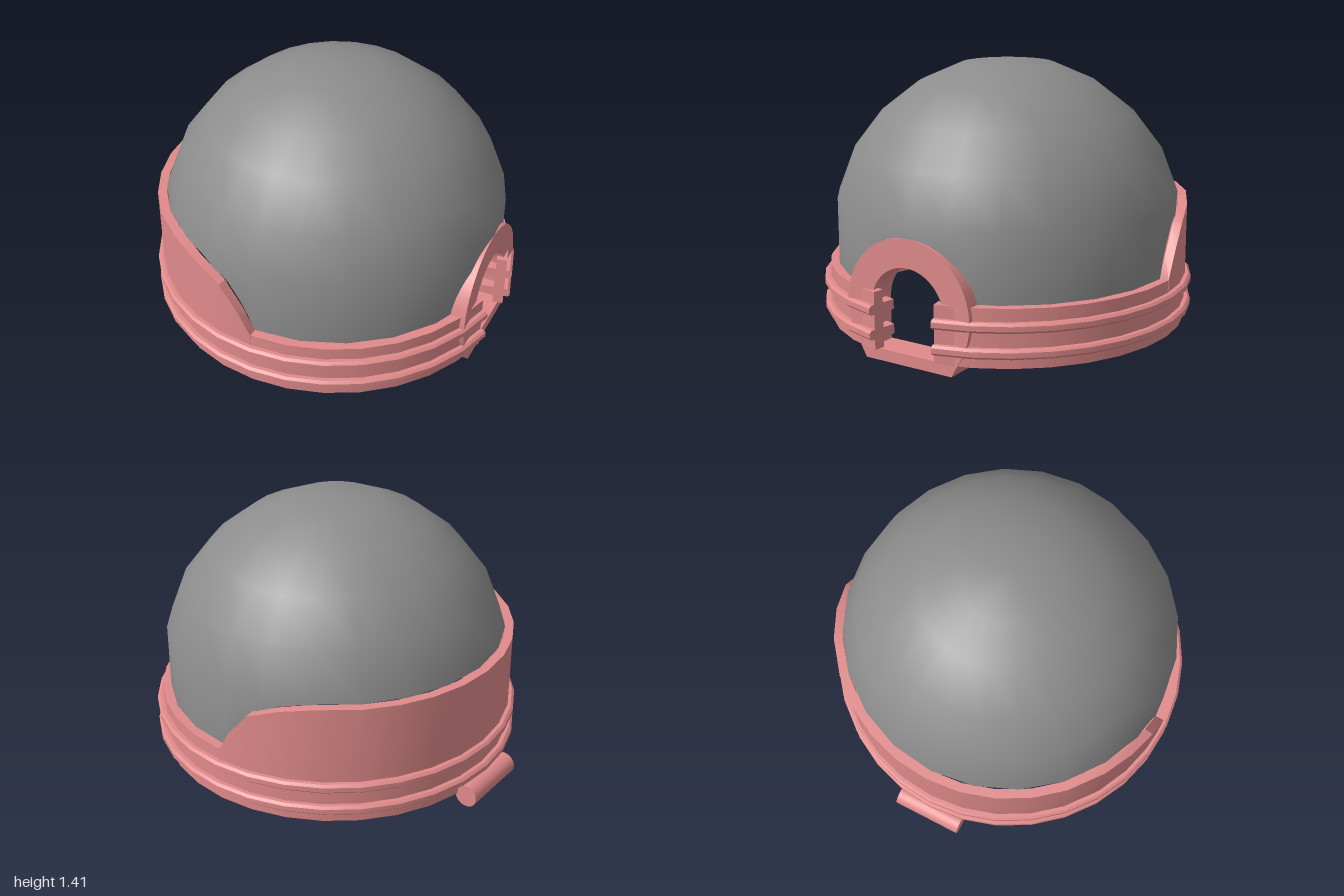
import * as THREE from 'three';
import { toCreasedNormals } from 'three/addons/utils/BufferGeometryUtils.js';

const CX = 0.033; // axis of the dome
const DEG = Math.PI / 180;
const metal = new THREE.MeshStandardMaterial({ color: 0xe08a8a });
const shell = new THREE.MeshStandardMaterial({ color: 0x8c8c8c, side: THREE.DoubleSide });

const spread = (a, b, n) => Array.from({ length: n + 1 }, (_, i) => a + (b - a) * i / n);

// Sweeps a profile of [radius, y] points around the axis; closed profiles get end caps.
function sweep(angles, profile, closed = true) {
  const pos = [], idx = [];
  angles.forEach(a => profile(a).forEach(([r, y]) =>
    pos.push(CX + r * Math.cos(a), y, r * Math.sin(a))));
  const m = pos.length / 3 / angles.length, last = (angles.length - 1) * m;
  for (let i = 0; i < angles.length - 1; i++) {
    for (let j = 0; j < (closed ? m : m - 1); j++) {
      const a = i * m + j, b = i * m + (j + 1) % m;
      idx.push(a, b, a + m, b, b + m, a + m);
    }
  }
  if (closed) {
    for (let j = 1; j < m - 1; j++) idx.push(0, j + 1, j, last, last + j, last + j + 1);
  }
  const g = new THREE.BufferGeometry();
  g.setAttribute('position', new THREE.Float32BufferAttribute(pos, 3));
  g.setIndex(idx);
  return g;
}

// Smooth shell normals pointing away from the dome's centre line
function roundNormals(g) {
  g.computeVertexNormals();
  const p = g.attributes.position;
  for (let i = 0; i < p.count; i++) {
    const n = new THREE.Vector3(p.getX(i) - CX, Math.max(0, p.getY(i) - 0.5), p.getZ(i)).normalize();
    g.attributes.normal.setXYZ(i, n.x, n.y, n.z);
  }
  return g;
}

// Height of the rear guard's edge, by degrees past the side
const edge = [[0, 0.355], [4, 0.475], [10.7, 0.605], [21, 0.67], [32, 0.7], [90, 0.7]];
function guardTop(a) {
  const d = 90 - Math.abs(a / DEG - 180);
  for (let i = 1; i < edge.length; i++) {
    const [d0, y0] = edge[i - 1], [d1, y1] = edge[i];
    if (d <= d1) return y0 + (y1 - y0) * Math.max(0, d - d0) / (d1 - d0);
  }
  return 0.7;
}

export function createModel() {
  const model = new THREE.Group();
  const add = (name, geometry, material = metal) => {
    const mesh = new THREE.Mesh(geometry, material);
    mesh.name = name;
    model.add(mesh);
    return mesh;
  };
  const solid = (name, angles, profile) =>
    add(name, toCreasedNormals(sweep(angles, profile), 0.5));

  // Dome cap
  const cap = [[0.9, 0.705], [0.81, 0.94], [0.66, 1.135], [0.467, 1.285], [0.243, 1.383], [0, 1.412]];
  const capGeo = new THREE.LatheGeometry(cap.map(p => new THREE.Vector2(...p)), 24);
  add('domeCap', roundNormals(capGeo.translate(CX, 0, 0)), shell);

  // Dome wall, cut away at the side port and behind the rear guard
  const wallRadius = a => {
    const step = 15 * DEG, t = ((a % step) + step) % step - step / 2;
    return 0.9 * Math.cos(step / 2) / Math.cos(t);
  };
  const wallBottom = a => {
    if (Math.cos(a) < 0) return guardTop(a);
    const z = 0.9 * Math.sin(a);
    return Math.max(0.35, 0.28 + Math.sqrt(Math.max(0, 0.29 ** 2 - z * z)));
  };
  add('domeWall', roundNormals(sweep(spread(0, 2 * Math.PI, 144), a => {
    const r = wallRadius(a);
    return [[r, wallBottom(a)], [r, 0.705]];
  }, false)), shell);

  // Base band with a gap at the side port
  const open = spread(10.8 * DEG, 349.2 * DEG, 30);
  solid('baseBand', open, () => [[0.89, 0.06], [0.945, 0.06], [0.945, 0.355], [0.89, 0.355]]);

  // Two raised rings with bevelled rims
  for (const y of [0.112, 0.24]) {
    solid('raisedRing', open, () => [
      [0.82, y], [0.965, y], [0.978, y + 0.012], [0.978, y + 0.038], [0.965, y + 0.05], [0.82, y + 0.05],
    ]);
  }

  // Rear guard with its swept-down ends
  const guardAngles = [
    ...edge.slice(0, -1).map(e => (90 + e[0]) * DEG),
    ...spread(135 * DEG, 225 * DEG, 8),
    ...edge.slice(0, -1).map(e => (270 - e[0]) * DEG).reverse(),
  ];
  solid('rearGuard', guardAngles, a => {
    const top = guardTop(a);
    return [[0.9, 0.3], [0.948, 0.3], [0.948, top], [0.9, top]];
  });

  // Side port: a thick arch standing on a flat foot
  const arch = new THREE.Shape();
  arch.moveTo(-0.255, 0);
  arch.lineTo(0.255, 0);
  arch.absarc(0, 0.28, 0.36, -0.6, Math.PI + 0.6, false);
  arch.closePath();
  const hole = new THREE.Path();
  hole.moveTo(-0.215, 0.06);
  hole.lineTo(0.215, 0.06);
  hole.absarc(0, 0.28, 0.215, 0, Math.PI, false);
  hole.closePath();
  arch.holes.push(hole);
  const archGeo = new THREE.ExtrudeGeometry(arch, { depth: 0.153, bevelEnabled: false, curveSegments: 24 });
  archGeo.rotateY(Math.PI / 2).translate(0.78, 0, 0);
  add('sidePort', toCreasedNormals(archGeo, 0.5));

  // Hinge pin on the opposite side
  const pin = add('hingePin', new THREE.CylinderGeometry(0.06, 0.06, 0.38, 24));
  pin.rotation.x = Math.PI / 2;
  pin.position.set(-0.94, 0.063, 0);

  return model;
}
